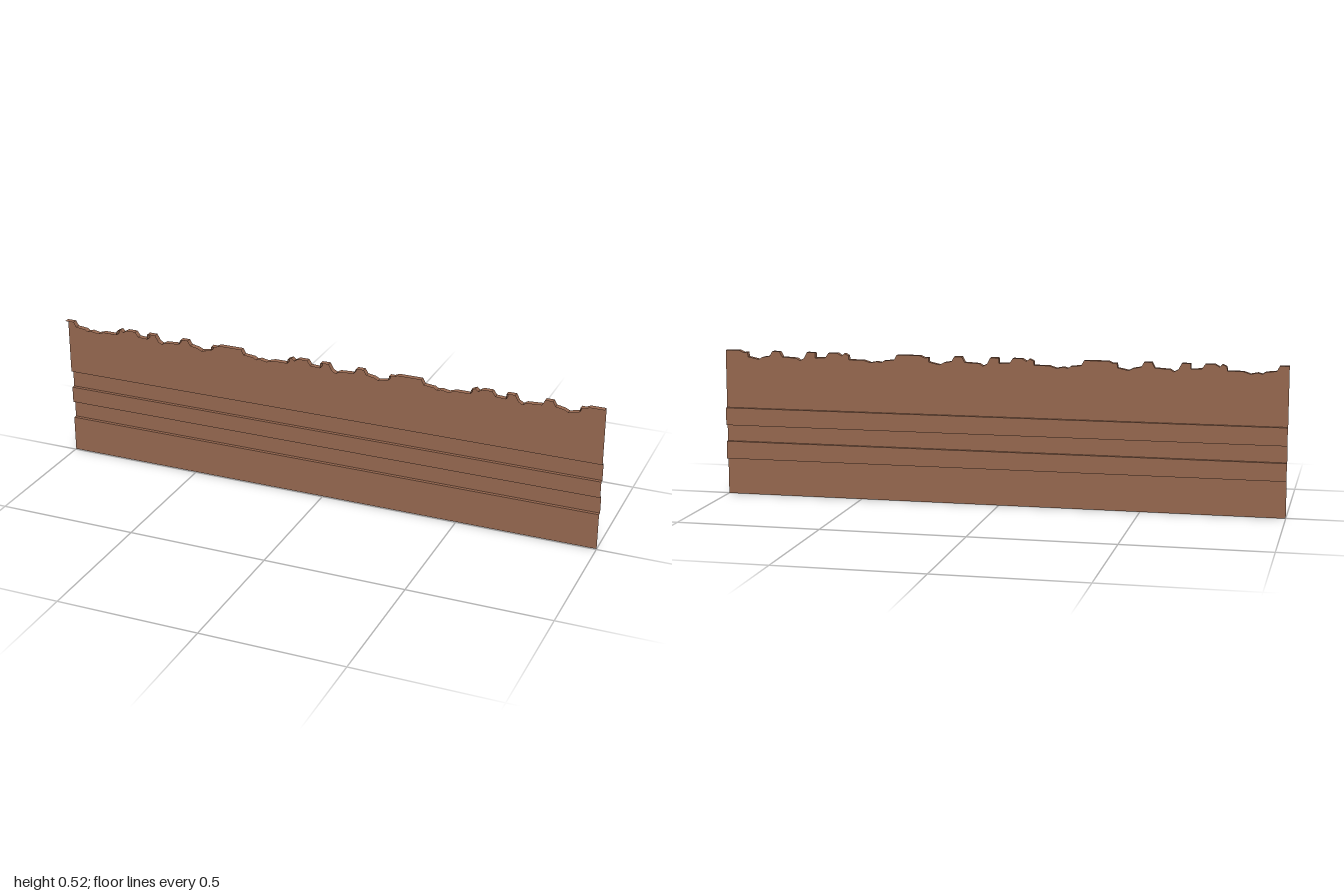
import * as THREE from 'three';

// One repeat of the broken top edge: x offset, height
const EDGE = [
  [0, .522], [.033, .522], [.043, .504], [.08, .5], [.09, .493], [.105, .497], [.13, .492], [.155, .5],
  [.208, .5], [.21, .515], [.225, .522], [.235, .513], [.25, .522], [.283, .522], [.295, .505], [.332, .503],
  [.333, .522], [.363, .522], [.375, .5], [.39, .492], [.402, .5], [.455, .503], [.465, .522], [.492, .522],
  [.502, .505], [.53, .5], [.545, .492], [.583, .5], [.585, .516], [.6, .515], [.615, .522],
];
const REPEATS = 3;
const Z_WALL = -0.004, Z_GROOVE = -0.017, Z_LIP = 0.017;

// Open strip between two matching rows of points
function strip(rowA, rowB) {
  const pos = [];
  for (let i = 0; i < rowA.length - 1; i++) {
    const a = rowA[i], b = rowA[i + 1], c = rowB[i + 1], d = rowB[i];
    pos.push(...a, ...b, ...c, ...a, ...c, ...d);
  }
  const g = new THREE.BufferGeometry();
  g.setAttribute('position', new THREE.Float32BufferAttribute(pos, 3));
  g.computeVertexNormals();
  return g;
}

export function createModel() {
  const group = new THREE.Group();
  const brown = new THREE.MeshStandardMaterial({ color: 0x94664e, side: THREE.DoubleSide });
  brown.name = 'woodBrown';
  const add = (name, geometry) => {
    const mesh = new THREE.Mesh(geometry, brown);
    mesh.name = name;
    group.add(mesh);
  };

  // Full ragged top line
  const edge = [];
  for (let r = 0; r < REPEATS; r++) {
    for (const [x, y] of EDGE) edge.push([-1 + r * 2 / REPEATS + x, y]);
  }
  edge.push([1, EDGE[0][1]]);

  // Upper wall panel under the ragged line
  const shape = new THREE.Shape();
  shape.moveTo(-1, .315);
  shape.lineTo(1, .315);
  for (const [x, y] of [...edge].reverse()) shape.lineTo(x, y);
  shape.closePath();
  add('upperPanel', new THREE.ShapeGeometry(shape).translate(0, 0, Z_WALL));

  // Forward lip following the ragged line
  add('topLip', strip(
    edge.map(([x, y]) => [x, y, Z_LIP]),
    edge.map(([x, y]) => [x, y, Z_WALL]),
  ));

  // Lower wall: stepped profile with two horizontal grooves pushed backwards
  const profile = [
    [0, Z_WALL], [.13, Z_WALL], [.13, Z_GROOVE], [.193, Z_GROOVE], [.193, Z_WALL],
    [.252, Z_WALL], [.252, Z_GROOVE], [.315, Z_GROOVE], [.315, Z_WALL],
  ];
  add('groovedPanel', strip(
    profile.map(([y, z]) => [1, y, z]),
    profile.map(([y, z]) => [-1, y, z]),
  ));

  return group;
}
